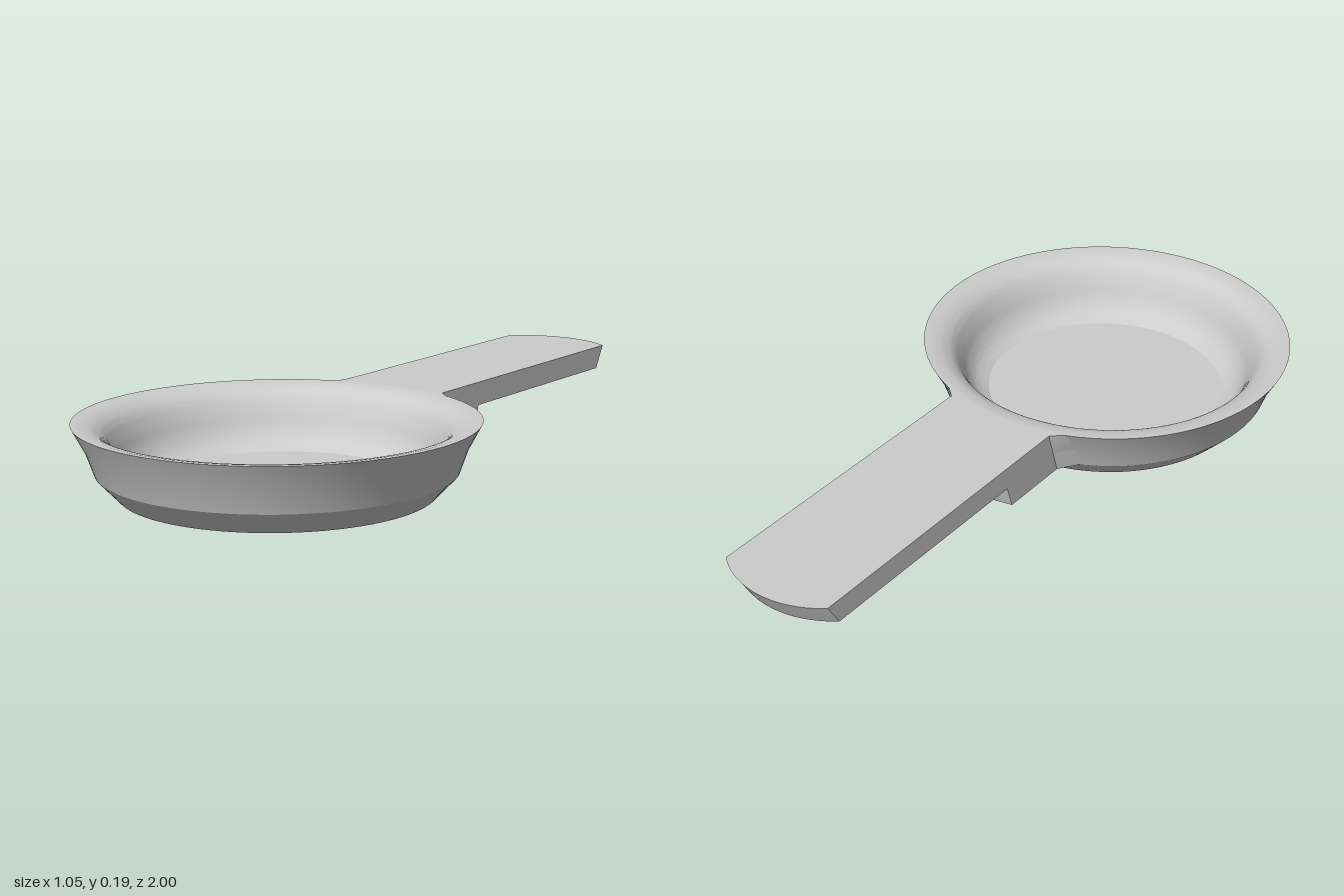
import * as THREE from 'three';
import { toCreasedNormals } from 'three/addons/utils/BufferGeometryUtils.js';

const CZ = 0.475;   // bowl centre on z
const W = 0.165;    // half width of the handle
const FLARE = 0.215; // half width where the handle meets the bowl

const circleZ = (r, x) => CZ - Math.sqrt(r * r - x * x);

// Outline as [x, z] points: along the bowl wall, out to the flare, then round the curved end
function outline(bowlR, neckZ, endCentre, endR) {
  const pts = [];
  for (let i = 0; i <= 12; i++) {
    const x = -FLARE + (2 * FLARE * i) / 12;
    pts.push([x, circleZ(bowlR - 0.01, x)]);
  }
  pts.push([W, neckZ]);
  const a = Math.asin(W / endR);
  for (let i = 0; i <= 20; i++) {
    const t = a - (2 * a * i) / 20;
    pts.push([endR * Math.sin(t), endCentre - endR * Math.cos(t)]);
  }
  pts.push([-W, neckZ]);
  return pts;
}

// Closed slab between two outlines with the same number of points
function slab(y0, lower, y1, upper) {
  const n = lower.length;
  const pos = [];
  lower.forEach(([x, z]) => pos.push(x, y0, z));
  upper.forEach(([x, z]) => pos.push(x, y1, z));
  const index = [];
  for (let i = 0; i < n; i++) {
    const j = (i + 1) % n;
    index.push(i, j, n + j, i, n + j, n + i);
  }
  const flat = (o) => o.map(([x, z]) => new THREE.Vector2(x, -z));
  for (const [pts, base, up] of [[lower, 0, false], [upper, n, true]]) {
    const v = flat(pts);
    const ccw = !THREE.ShapeUtils.isClockWise(v);
    for (const [a, b, c] of THREE.ShapeUtils.triangulateShape(v, [])) {
      // orient each cap triangle by its signed area
      const s = (v[b].x - v[a].x) * (v[c].y - v[a].y) - (v[b].y - v[a].y) * (v[c].x - v[a].x);
      if ((s > 0) === up) index.push(base + a, base + b, base + c);
      else index.push(base + a, base + c, base + b);
    }
    // side walls follow the winding of the outline
    if (up && !ccw) {
      for (let k = 0; k < n * 6; k += 3) [index[k + 1], index[k + 2]] = [index[k + 2], index[k + 1]];
    }
  }
  const g = new THREE.BufferGeometry();
  g.setAttribute('position', new THREE.Float32BufferAttribute(pos, 3));
  g.setIndex(index);
  return toCreasedNormals(g, 0.3);
}

export function createModel() {
  const group = new THREE.Group();
  const material = new THREE.MeshStandardMaterial({ color: 0xcccccc });
  const add = (name, geometry) => {
    const mesh = new THREE.Mesh(geometry, material);
    mesh.name = name;
    group.add(mesh);
    return mesh;
  };

  // Bowl: banded outside, smooth S-curve from the rim down to the flat floor
  const v = (x, y) => new THREE.Vector2(x, y);
  const inside = new THREE.SplineCurve([
    v(0.51, 0.19), v(0.475, 0.182), v(0.443, 0.16), v(0.42, 0.122),
    v(0.4, 0.078), v(0.375, 0.046), v(0.34, 0.025),
  ]).getPoints(30);
  const profile = [
    v(0, 0), v(0.41, 0), v(0.467, 0.06), v(0.49, 0.125), v(0.525, 0.19),
    ...inside, v(0, 0.025),
  ];
  const bowl = add('bowl', toCreasedNormals(new THREE.LatheGeometry(profile, 96), 0.24));
  bowl.position.z = CZ;

  // Handle: flat bar with a rounded, undercut end
  add('handle', slab(
    0.125, outline(0.49, -0.02, -0.705, 0.257),
    0.19, outline(0.525, -0.04, -0.743, 0.257),
  ));

  // Support block under the handle, its end concentric with the bowl
  add('handleSupport', slab(
    0.06, outline(0.467, 0, CZ, 0.7),
    0.125, outline(0.49, -0.02, CZ, 0.72),
  ));

  return group;
}
